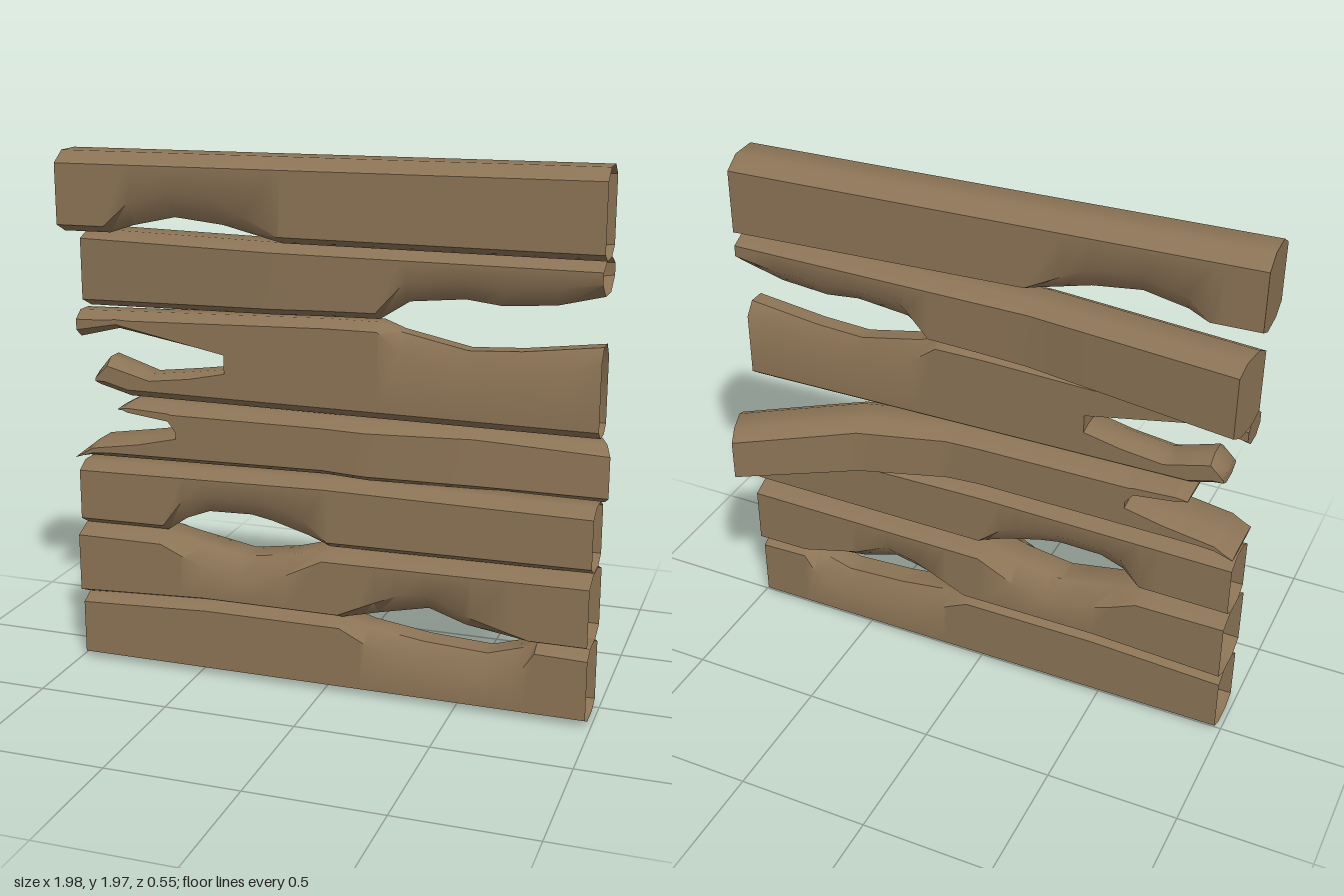
import * as THREE from 'three';
import { toCreasedNormals } from 'three/addons/utils/BufferGeometryUtils.js';

// Linear interpolation along a list of [x, value, extra] knots
function at(knots, x, k = 1, fallback = 0) {
  const val = (p) => (p[k] === undefined ? fallback : p[k]);
  if (x <= knots[0][0]) return val(knots[0]);
  for (let i = 1; i < knots.length; i++) {
    const a = knots[i - 1], b = knots[i];
    if (x <= b[0]) return THREE.MathUtils.lerp(val(a), val(b), (x - a[0]) / (b[0] - a[0]));
  }
  return val(knots[knots.length - 1]);
}

// Plank lofted along x from eight-sided sections.
// top and bottom knots are [x, y, chamfer height]; centre knots are [x, z].
function plankGeometry({ from = -0.98, to = 0.98, top, bottom, centre, half, capStart, capEnd }) {
  const xs = new Set([from, to]);
  for (const list of [top, bottom, centre]) for (const p of list) if (p[0] > from && p[0] < to) xs.add(p[0]);
  for (let i = 1; i < 14; i++) xs.add(from + ((to - from) * i) / 14);
  const stations = [...xs].sort((a, b) => a - b);
  const rings = stations.map((x) => {
    const yt = at(top, x), yb = at(bottom, x);
    const limit = (yt - yb) * 0.4;
    const ct = Math.min(at(top, x, 2, 0.03), limit), cb = Math.min(at(bottom, x, 2, 0.03), limit);
    const x0 = Math.max(from, x - 0.06), x1 = Math.min(to, x + 0.06);
    const yaw = Math.atan2(at(centre, x1) - at(centre, x0), x1 - x0);
    const zc = at(centre, x), f = half * 0.45;
    return [
      [-half, yt - ct], [-f, yt], [f, yt], [half, yt - ct],
      [half, yb + cb], [f, yb], [-f, yb], [-half, yb + cb],
    ].map(([z, y]) => [x - Math.sin(yaw) * z, y, zc + Math.cos(yaw) * z]);
  });
  const pos = [];
  const tri = (a, b, c) => pos.push(...a, ...b, ...c);
  for (let i = 0; i + 1 < rings.length; i++) {
    for (let j = 0; j < 8; j++) {
      const k = (j + 1) % 8, p = rings[i], q = rings[i + 1];
      tri(p[j], p[k], q[j]);
      tri(p[k], q[k], q[j]);
    }
  }
  const first = rings[0], last = rings[rings.length - 1];
  for (let j = 1; j < 7; j++) {
    if (capStart) tri(first[0], first[j + 1], first[j]);
    if (capEnd) tri(last[0], last[j], last[j + 1]);
  }
  const g = new THREE.BufferGeometry();
  g.setAttribute('position', new THREE.Float32BufferAttribute(pos, 3));
  return toCreasedNormals(g, 0.87);
}

export function createModel() {
  const group = new THREE.Group();
  const wood = new THREE.MeshStandardMaterial({ color: 0x8b7355, side: THREE.DoubleSide });
  wood.name = 'weathered wood';
  const add = (name, spec) => {
    const mesh = new THREE.Mesh(plankGeometry(spec), wood);
    mesh.name = name;
    group.add(mesh);
  };

  // Top plank, turned slightly, worn underneath
  add('topPlank', {
    top: [[-0.98, 1.97, 0.04], [0.98, 1.97, 0.04]],
    bottom: [[-0.98, 1.68], [-0.8, 1.68], [-0.71, 1.71, 0.08], [-0.55, 1.745, 0.11], [-0.37, 1.725, 0.09], [-0.15, 1.67], [0.98, 1.66]],
    centre: [[-0.98, 0.155], [0.98, 0.08]], half: 0.118, capStart: true,
  });

  // Second plank, its right end swung backwards
  add('secondPlank', {
    top: [[-0.98, 1.66], [0.98, 1.66]],
    bottom: [[-0.98, 1.37], [-0.03, 1.405], [0.19, 1.41], [0.3, 1.48, 0.08], [0.5, 1.5, 0.1], [0.63, 1.485, 0.08], [0.82, 1.5, 0.08], [0.98, 1.54, 0.06]],
    centre: [[-0.98, -0.035], [-0.2, 0.055], [0.98, 0.075]], half: 0.105, capStart: true,
  });

  // Third plank, split into two tongues
  const third = { centre: [[-0.98, 0.08], [0.98, 0.08]], half: 0.07 };
  const thirdTop = [[-0.98, 1.37], [0, 1.4], [0.19, 1.4], [0.27, 1.37, 0.06], [0.51, 1.32, 0.1], [0.7, 1.33, 0.08], [0.98, 1.365, 0.05]];
  const thirdBottom = [[-0.91, 1.09], [-0.78, 1.055], [0.98, 1.045]];
  add('thirdPlank', { ...third, from: -0.39, top: thirdTop, bottom: thirdBottom, capStart: true });
  add('thirdPlankUpperTongue', {
    ...third, to: -0.39, top: thirdTop, capStart: true,
    bottom: [[-0.98, 1.27, 0.03], [-0.82, 1.31, 0.02], [-0.39, 1.235, 0.01]],
  });
  add('thirdPlankLowerTongue', {
    ...third, from: -0.91, to: -0.39, bottom: thirdBottom, capStart: true,
    top: [[-0.91, 1.14, 0.02], [-0.86, 1.2, 0.03], [-0.69, 1.145, 0.02], [-0.53, 1.165, 0.02], [-0.39, 1.185, 0.01]],
  });

  // Fourth plank, split at one end and bent backwards at the other
  const fourth = { centre: [[-0.98, 0.085], [0.15, 0.08], [0.5, 0], [0.95, -0.17]], half: 0.11 };
  const fourthTop = [[-0.8, 1.025], [-0.76, 1.045], [0, 1.045], [0.5, 1.03], [0.95, 0.96]];
  const fourthBottom = [[-0.98, 0.815], [0, 0.83], [0.5, 0.8], [0.95, 0.745]];
  add('fourthPlank', { ...fourth, from: -0.57, to: 0.95, top: fourthTop, bottom: fourthBottom, capStart: true, capEnd: true });
  add('fourthPlankUpperTongue', {
    ...fourth, from: -0.8, to: -0.57, top: fourthTop, capStart: true,
    bottom: [[-0.8, 1.015, 0.01], [-0.76, 1, 0.01], [-0.6, 0.98, 0.01], [-0.57, 0.94, 0.01]],
  });
  add('fourthPlankLowerTongue', {
    ...fourth, to: -0.57, bottom: fourthBottom, capStart: true,
    top: [[-0.98, 0.825, 0.01], [-0.91, 0.88, 0.02], [-0.72, 0.91, 0.02], [-0.57, 0.935, 0.01]],
  });

  // Lower planks, with worn hollows meeting between them
  add('fifthPlank', {
    top: [[-0.98, 0.79], [0, 0.81], [0.98, 0.8]],
    bottom: [[-0.98, 0.54], [-0.64, 0.545], [-0.56, 0.6, 0.08], [-0.47, 0.635, 0.1], [-0.3, 0.64, 0.1], [-0.22, 0.625, 0.1], [-0.08, 0.585, 0.07], [0.01, 0.55], [0.98, 0.56]],
    centre: [[-0.98, 0.08], [0.98, 0.08]], half: 0.092,
  });
  add('sixthPlank', {
    top: [[-0.98, 0.54], [-0.64, 0.54], [-0.55, 0.52, 0.05], [-0.32, 0.478, 0.09], [-0.14, 0.505, 0.06], [0, 0.545], [0.98, 0.555]],
    bottom: [[-0.98, 0.26], [-0.47, 0.285], [0.06, 0.285], [0.2, 0.32, 0.06], [0.39, 0.362, 0.1], [0.53, 0.315, 0.06], [0.77, 0.28], [0.98, 0.28]],
    centre: [[-0.98, 0.08], [0.98, 0.08]], half: 0.12,
  });
  add('bottomPlank', {
    top: [[-0.98, 0.26], [-0.47, 0.285], [0.06, 0.285], [0.16, 0.255, 0.05], [0.37, 0.225, 0.08], [0.61, 0.212, 0.1], [0.75, 0.255, 0.06], [0.79, 0.285], [0.98, 0.28]],
    bottom: [[-0.98, 0, 0.025], [0.98, 0, 0.025]],
    centre: [[-0.98, 0.08], [0.98, 0.08]], half: 0.1,
  });

  return group;
}
